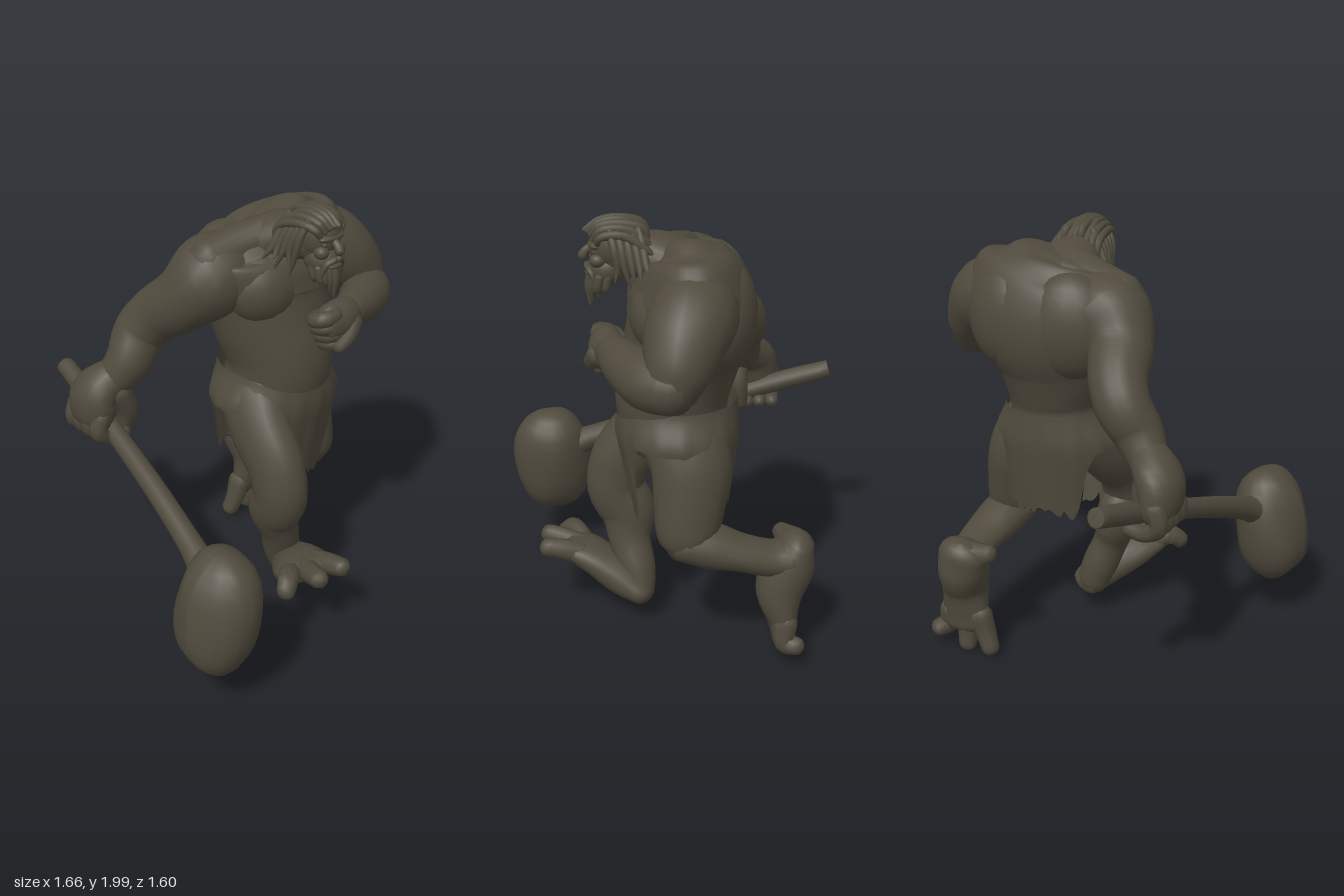
import * as THREE from 'three';

const V = (x, y, z) => new THREE.Vector3(x, y, z);
const hide = new THREE.MeshStandardMaterial({ color: 0x504a3d, side: THREE.DoubleSide });
hide.name = 'drab brown';

// Smooth tube through sections [x, y, z, radiusA, radiusB]; radiusA lies along ref
function loft(secs, { ref = [1, 0, 0], sides = 18, steps = 5, cap = 0.8 } = {}) {
  const path = new THREE.CatmullRomCurve3(secs.map(s => V(s[0], s[1], s[2])));
  const radii = new THREE.CatmullRomCurve3(secs.map(s => V(s[3], s[4] ?? s[3], 0)), false, 'catmullrom');
  const n = (secs.length - 1) * steps, rings = [];
  const rounding = [1.5, 1, 0.5].map(k => k * Math.PI / 3);
  rounding.forEach(k => rings.push([0, -Math.sin(k), Math.cos(k)]));
  for (let i = 0; i <= n; i++) rings.push([i / n, 0, 1]);
  [...rounding].reverse().forEach(k => rings.push([1, Math.sin(k), Math.cos(k)]));
  const pos = [], idx = [];
  rings.forEach(([t, push, scale], i) => {
    const dir = path.getTangent(t), r = radii.getPoint(t);
    const c = path.getPoint(t).addScaledVector(dir, push * cap * Math.min(r.x, r.y));
    const a = V(...ref).addScaledVector(dir, -V(...ref).dot(dir)).normalize();
    const b = dir.clone().cross(a);
    for (let j = 0; j < sides; j++) {
      const q = j / sides * Math.PI * 2;
      const p = c.clone().addScaledVector(a, Math.cos(q) * r.x * scale).addScaledVector(b, Math.sin(q) * r.y * scale);
      pos.push(p.x, p.y, p.z);
      if (i < rings.length - 1) {
        const k = i * sides + j, l = i * sides + (j + 1) % sides;
        idx.push(k, l, k + sides, l, l + sides, k + sides);
      }
    }
  });
  return finish(pos, idx);
}

function finish(pos, idx) {
  const g = new THREE.BufferGeometry();
  g.setAttribute('position', new THREE.Float32BufferAttribute(pos, 3));
  g.setIndex(idx);
  g.computeVertexNormals();
  return g;
}

// Hip cloth: a skirt with long ragged flaps at front and back
function clothGeometry() {
  const cols = 96, rows = 10, pos = [], idx = [];
  const ramp = THREE.MathUtils.smoothstep;
  for (let j = 0; j <= cols; j++) {
    const q = j / cols * Math.PI * 2;
    const front = Math.min(q, Math.PI * 2 - q), back = Math.PI - front;
    const tear = Math.abs(Math.sin(j * 12.9898) * 43758.5453) % 1;
    const top = 1.19 - 0.07 * Math.max(0, Math.cos(q)) ** 2;
    const low = Math.max(0.37 * (1 - ramp(front, 0.42, 0.75)), 0.3 * (1 - ramp(back, 0.6, 1.0)));
    const hem = 1.03 - low - tear * (0.02 + low * 0.18);
    for (let i = 0; i <= rows; i++) {
      const y = top + (hem - top) * i / rows;
      const flare = ramp(1.2 - y, 0, 0.17), fall = Math.max(0, 1.03 - y);
      const rx = 0.255 + 0.063 * flare - fall * 0.08;
      const rz = 0.265 + 0.012 * flare - fall * (front < 1.57 ? 0.2 : 0.12);
      const fold = 1 + 0.008 * Math.sin(q * 17) * flare;
      pos.push(0.205 + Math.sin(q) * rx * fold, y, 0.015 + Math.cos(q) * rz * fold);
      if (i < rows && j < cols) {
        const a = j * (rows + 1) + i, b = a + rows + 1;
        idx.push(a, a + 1, b, b, a + 1, b + 1);
      }
    }
  }
  return finish(pos, idx);
}

export function createModel() {
  const model = new THREE.Group();
  const add = (name, geo) => {
    const m = new THREE.Mesh(geo, hide);
    m.name = name;
    model.add(m);
    return m;
  };
  const tube = (name, secs, opt) => add(name, loft(secs, opt));
  const blob = (name, p, r, rot = [0, 0, 0]) => {
    const m = add(name, new THREE.SphereGeometry(1, 20, 14));
    m.position.set(...p);
    m.scale.set(...r);
    m.rotation.set(...rot);
    return m;
  };
  const thin = { sides: 8, steps: 4 };

  // Trunk
  tube('torso', [
    [0.2, 1.0, 0.01, 0.25, 0.23], [0.215, 1.2, 0.04, 0.245, 0.25], [0.21, 1.4, -0.005, 0.295, 0.26],
    [0.22, 1.55, -0.045, 0.36, 0.28], [0.22, 1.68, -0.045, 0.41, 0.265], [0.22, 1.77, -0.04, 0.39, 0.225],
    [0.21, 1.83, -0.035, 0.31, 0.17], [0.205, 1.865, -0.03, 0.21, 0.12], [0.2, 1.88, -0.03, 0.1, 0.06],
  ], { sides: 32, cap: 0.1 });
  for (const s of [-1, 1]) {
    blob('chestMuscle', [0.21 + s * 0.14, 1.6, 0.08], [0.18, 0.17, 0.145], [0, s * 0.2, s * 0.15]);
    blob('backMuscle', [0.21 + s * 0.16, 1.6, -0.17], [0.21, 0.24, 0.14], [0, -s * 0.25, 0]);
    tube('shoulderSlope', [[0.2 + s * 0.05, 1.815, 0.04, 0.09], [0.2 + s * 0.2, 1.775, -0.02, 0.095], [0.2 + s * 0.34, 1.725, -0.05, 0.105]],
      { ref: [0, 0, 1] });
  }
  tube('neck', [[0.2, 1.74, -0.04, 0.24, 0.13], [0.2, 1.805, 0.08, 0.17, 0.115], [0.2, 1.83, 0.18, 0.115, 0.1], [0.2, 1.84, 0.27, 0.09, 0.095]],
    { sides: 24 });
  add('hipCloth', clothGeometry());

  // Right arm reaching back to the club
  tube('rightArm', [
    [0.02, 1.69, -0.06, 0.16], [-0.09, 1.645, -0.075, 0.19], [-0.185, 1.54, -0.15, 0.15],
    [-0.24, 1.44, -0.275, 0.13], [-0.295, 1.35, -0.335, 0.122], [-0.365, 1.24, -0.33, 0.11],
    [-0.435, 1.14, -0.365, 0.088],
  ], { ref: [0, 0, 1] });
  tube('rightHand', [
    [-0.435, 1.16, -0.365, 0.09, 0.088], [-0.51, 1.08, -0.41, 0.128, 0.097],
    [-0.525, 0.98, -0.425, 0.13, 0.085], [-0.525, 0.93, -0.425, 0.11, 0.06],
  ], { ref: [0, 0, 1] });
  for (let i = 0; i < 4; i++) {
    const z = -0.52 + i * 0.063;
    tube('rightFinger', [[-0.54, 1.0, z, 0.045], [-0.56, 0.925, z, 0.043], [-0.5, 0.88, z, 0.038], [-0.42, 0.88, z + 0.01, 0.033]],
      { ...thin, ref: [0, 0, 1] });
  }
  tube('rightThumb', [[-0.44, 1.1, -0.33, 0.062], [-0.395, 0.99, -0.33, 0.054], [-0.4, 0.885, -0.35, 0.038]],
    { ...thin, ref: [0, 0, 1] });

  // Club
  tube('clubHandle', [
    [-0.415, 1.045, -0.79, 0.044], [-0.44, 0.99, -0.6, 0.048], [-0.475, 0.91, -0.35, 0.046],
    [-0.53, 0.775, 0.05, 0.05], [-0.58, 0.66, 0.35, 0.056], [-0.61, 0.59, 0.5, 0.075],
  ], { sides: 12, cap: 0.05 });
  const head = blob('clubHead', [-0.645, 0.502, 0.597], [0.172, 0.295, 0.195], [0, 0, -0.17]);
  const hp = head.geometry.attributes.position;
  for (let i = 0; i < hp.count; i++) {
    const v = V().fromBufferAttribute(hp, i);
    const lump = 1 + 0.03 * Math.sin(v.x * 5 + 1) * Math.sin(v.y * 4) + 0.025 * Math.cos(v.z * 6 + v.y * 3);
    const square = 1 + 0.3 * v.y * v.y * (1 - v.y * v.y);
    hp.setXYZ(i, v.x * lump * square, v.y * lump, v.z * lump * square);
  }
  head.geometry.computeVertexNormals();

  // Left arm folded across the chest
  tube('leftUpperArm', [
    [0.39, 1.68, -0.05, 0.16], [0.52, 1.66, -0.03, 0.183], [0.615, 1.59, 0.015, 0.174],
    [0.685, 1.5, 0.05, 0.145], [0.715, 1.43, 0.075, 0.118],
  ], { ref: [0, 0, 1] });
  tube('leftForearm', [
    [0.735, 1.425, 0.07, 0.11], [0.65, 1.425, 0.16, 0.12], [0.52, 1.445, 0.245, 0.102], [0.39, 1.465, 0.3, 0.075],
  ], { ref: [0, 1, 0] });
  tube('leftHand', [
    [0.41, 1.46, 0.29, 0.075, 0.068], [0.32, 1.45, 0.32, 0.098, 0.08], [0.235, 1.455, 0.325, 0.088, 0.068],
  ], { ref: [0, 1, 0] });
  for (let i = 0; i < 4; i++) {
    const y = 1.5 - i * 0.043, x = i * 0.022;
    tube('leftFinger', [[0.25 + x, y, 0.355, 0.036], [0.185 + x, y - 0.01, 0.345, 0.036], [0.18 + x, y - 0.025, 0.29, 0.034], [0.24 + x, y - 0.03, 0.26, 0.028]],
      { ...thin, ref: [0, 1, 0] });
  }
  tube('leftThumb', [[0.35, 1.44, 0.355, 0.055], [0.3, 1.39, 0.38, 0.042], [0.255, 1.35, 0.375, 0.032]], { ...thin, ref: [0, 0, 1] });

  // Right leg stepping forward on its heel
  tube('rightLeg', [
    [0.06, 1.05, 0.04, 0.15, 0.18], [0.015, 0.94, 0.13, 0.13, 0.17], [0.0, 0.8, 0.25, 0.122, 0.15],
    [0.0, 0.65, 0.29, 0.118, 0.135], [0.015, 0.53, 0.235, 0.11, 0.135], [0.055, 0.4, 0.23, 0.085, 0.1],
    [0.1, 0.27, 0.2, 0.088, 0.09], [0.135, 0.17, 0.185, 0.08, 0.072],
  ]);
  tube('rightFoot', [
    [0.165, 0.155, 0.175, 0.085, 0.058], [0.11, 0.215, 0.27, 0.105, 0.085], [0.03, 0.295, 0.4, 0.135, 0.075], [-0.02, 0.335, 0.49, 0.135, 0.052],
  ]);
  [[-0.185, 0.32, 0.53], [-0.06, 0.375, 0.615], [0.08, 0.375, 0.62]].forEach(([x, y, z], i) => {
    const b = -0.09 + i * 0.08;
    tube('rightToe', [[b, 0.33, 0.46, 0.055], [(b + x) / 2, 0.355, (0.46 + z) / 2, 0.052], [x, y, z, 0.045]], thin);
  });

  // Left leg trailing with the heel lifted
  tube('leftThigh', [
    [0.35, 1.06, 0, 0.14, 0.19], [0.405, 0.93, -0.03, 0.14, 0.18], [0.44, 0.77, -0.02, 0.132, 0.16],
    [0.46, 0.64, -0.01, 0.125, 0.14], [0.465, 0.59, -0.02, 0.115, 0.115],
  ]);
  tube('leftShin', [
    [0.465, 0.6, 0, 0.12, 0.095], [0.475, 0.57, -0.12, 0.12, 0.1], [0.485, 0.535, -0.25, 0.108, 0.08],
    [0.48, 0.5, -0.38, 0.1, 0.08], [0.47, 0.5, -0.46, 0.11, 0.08],
  ]);
  tube('leftFoot', [
    [0.445, 0.55, -0.5, 0.115, 0.082], [0.465, 0.46, -0.465, 0.12, 0.12], [0.485, 0.34, -0.425, 0.11, 0.11],
    [0.485, 0.22, -0.435, 0.12, 0.075], [0.48, 0.15, -0.45, 0.125, 0.05],
  ]);
  tube('leftHeel', [[0.4, 0.54, -0.48, 0.07], [0.33, 0.55, -0.45, 0.045]], { ...thin, ref: [0, 1, 0] });
  [[0.34, 0.05, -0.45], [0.465, 0.045, -0.455], [0.605, 0.11, -0.49]].forEach(([x, y, z], i) => {
    const b = 0.4 + i * 0.08;
    tube('leftToe', [[b, 0.21, -0.44, 0.056, 0.06], [(b + x) / 2, 0.12, -0.44, 0.05], [x, y, z, 0.043]], thin);
  });

  // Head and face
  blob('skull', [0.2, 1.87, 0.26], [0.095, 0.115, 0.125]);
  blob('jaw', [0.2, 1.77, 0.31], [0.078, 0.075, 0.085]);
  blob('brow', [0.2, 1.875, 0.355], [0.07, 0.02, 0.035]);
  tube('nose', [[0.2, 1.87, 0.37, 0.015], [0.2, 1.845, 0.4, 0.02], [0.2, 1.825, 0.412, 0.022]], thin);
  blob('lips', [0.2, 1.755, 0.385], [0.04, 0.014, 0.02]);
  for (const s of [-1, 1]) {
    blob('eye', [0.2 + s * 0.038, 1.85, 0.36], [0.015, 0.011, 0.012]);
    blob('cheek', [0.2 + s * 0.048, 1.815, 0.35], [0.032, 0.03, 0.035]);
    blob('ear', [0.2 + s * 0.105, 1.84, 0.24], [0.025, 0.045, 0.028]);
    tube('moustache', [[0.2 + s * 0.01, 1.785, 0.395, 0.014], [0.2 + s * 0.045, 1.765, 0.38, 0.014], [0.2 + s * 0.06, 1.7, 0.36, 0.006]], thin);
  }
  for (let i = -3; i <= 3; i++) for (const row of [0, 0.035]) {
    const d = Math.abs(i);
    tube('beardLock', [
      [0.2 + i * 0.019, 1.745, 0.38 - d * 0.012 - row, 0.02], [0.2 + i * 0.017, 1.69, 0.39 - d * 0.012 - row, 0.018],
      [0.2 + i * 0.012, 1.61 + d * 0.022 + row, 0.385 - d * 0.01 - row, 0.005],
    ], thin);
  }

  // Hair: locks fanning back over the crown, then strands hanging at the sides
  for (let i = -4; i <= 4; i++) {
    const drop = i * i * 0.0033, d = Math.abs(i), wild = 0.015 * Math.sin(i * 4.1);
    tube('crownLock', [
      [0.2 + i * 0.014, 1.935 - drop, 0.4 - d * 0.012, 0.013], [0.2 + i * 0.02, 1.972 - drop, 0.34, 0.018],
      [0.2 + i * 0.024, 1.98 - drop, 0.24, 0.02], [0.2 + i * 0.028, 1.94 - drop + wild, 0.155, 0.018],
      [0.2 + i * 0.031, 1.89 - drop - wild, 0.12 + wild, 0.005],
    ], thin);
  }
  for (const s of [-1, 1]) for (let i = 0; i < 5; i++) {
    const z = 0.3 - i * 0.03, wild = 0.025 * Math.sin(i * 2.7 + s);
    tube('sideLock', [
      [0.2 + s * 0.07, 1.95, z, 0.016], [0.2 + s * 0.11, 1.88, z - 0.015, 0.018],
      [0.2 + s * (0.12 + i * 0.008), 1.8, z - 0.03, 0.015],
      [0.2 + s * (0.125 + i * 0.014), 1.72 + i * 0.012 + wild, z - 0.04 + wild, 0.004],
    ], { ...thin, ref: [0, 0, 1] });
  }
  return model;
}
